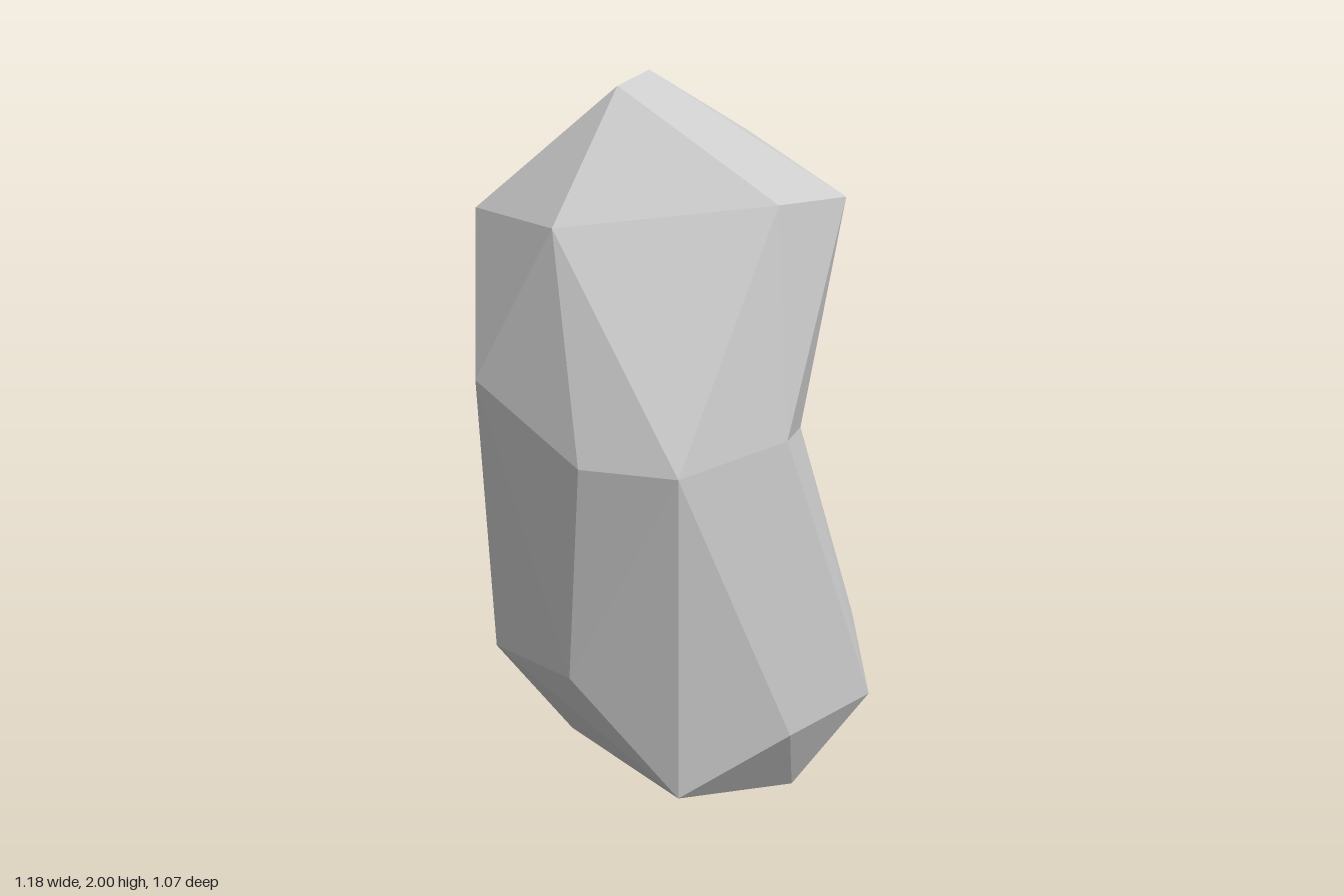
import * as THREE from 'three';

// Corner points, level by level from the top, each level running counter-clockwise seen from above
const crest = [[-0.135, 1.96, -0.06], [0.07, 2, -0.11]];
const shoulder = [
  [-0.155, 1.68, 0.455], [0.15, 1.68, 0.47], [0.355, 1.83, 0.03], [0.345, 1.73, -0.39],
  [0, 1.7, -0.475], [-0.325, 1.64, -0.4], [-0.46, 1.62, -0.015],
];
const backPoint = [-0.15, 0.66, -0.535];
const waist = [
  [-0.525, 1.06, 0.42], [-0.19, 1.1, 0.515], [0.13, 1.05, 0.36], [0.235, 1.13, -0.525],
  backPoint, [-0.525, 1.22, -0.23], [-0.595, 1.06, 0.17],
];
const belly = [
  [-0.425, 0.165, 0.35], [-0.17, 0.295, 0.53], [0.27, 0.255, 0.525], [0.485, 0.395, 0.345],
  [0.59, 0.34, 0.05], [0.49, 0.57, -0.31], [0.23, 0.535, -0.53], backPoint, [-0.48, 0.47, -0.225],
];
const base = [[0.06, 0.02, 0.4], [0.46, 0.025, 0.3], [0.46, 0.02, -0.19], [0, 0, -0.365]];
const cheek = [0.32, 1.58, 0.32];  // extra corner on the hollow side
const hip = [-0.57, 0.49, 0.11];   // extra corner on the bulging side

// Joins two levels with triangles. Each step moves along the upper (u) or
// lower (l) level; a capital moves on without making a face.
function stitch(upper, lower, steps) {
  const faces = [];
  let u = 0, l = 0;
  const up = () => upper[u % upper.length];
  const low = () => lower[l % lower.length];
  for (const step of steps) {
    const a = up(), b = low();
    const isUpper = step.toLowerCase() === 'u';
    if (isUpper) u++; else l++;
    if (step === 'u' || step === 'l') faces.push([a, b, isUpper ? up() : low()]);
  }
  return faces;
}

export function createModel() {
  const [, brow, side] = shoulder;
  const hollow = waist[2];
  const faces = [
    ...stitch(crest, shoulder, 'lulllulll'),
    ...stitch(shoulder, waist, 'lulUulululullu'),
    ...stitch(waist, [...belly, hip], 'lululllullULuluul'),
    ...stitch(belly, base, 'uuluuluuluuul'),
    // faces around the two extra corners
    [brow, hollow, cheek], [cheek, hollow, side], [brow, cheek, side],
    [belly[8], belly[0], hip],
    // underside
    [base[0], base[3], base[2]], [base[0], base[2], base[1]],
  ];

  const geometry = new THREE.BufferGeometry();
  geometry.setAttribute('position', new THREE.Float32BufferAttribute(faces.flat(2), 3));
  geometry.computeVertexNormals();

  const rock = new THREE.Mesh(
    geometry,
    new THREE.MeshStandardMaterial({ color: 0xcccccc, flatShading: true }),
  );
  rock.name = 'rock';

  const group = new THREE.Group();
  group.name = 'curvedRock';
  group.add(rock);
  return group;
}
